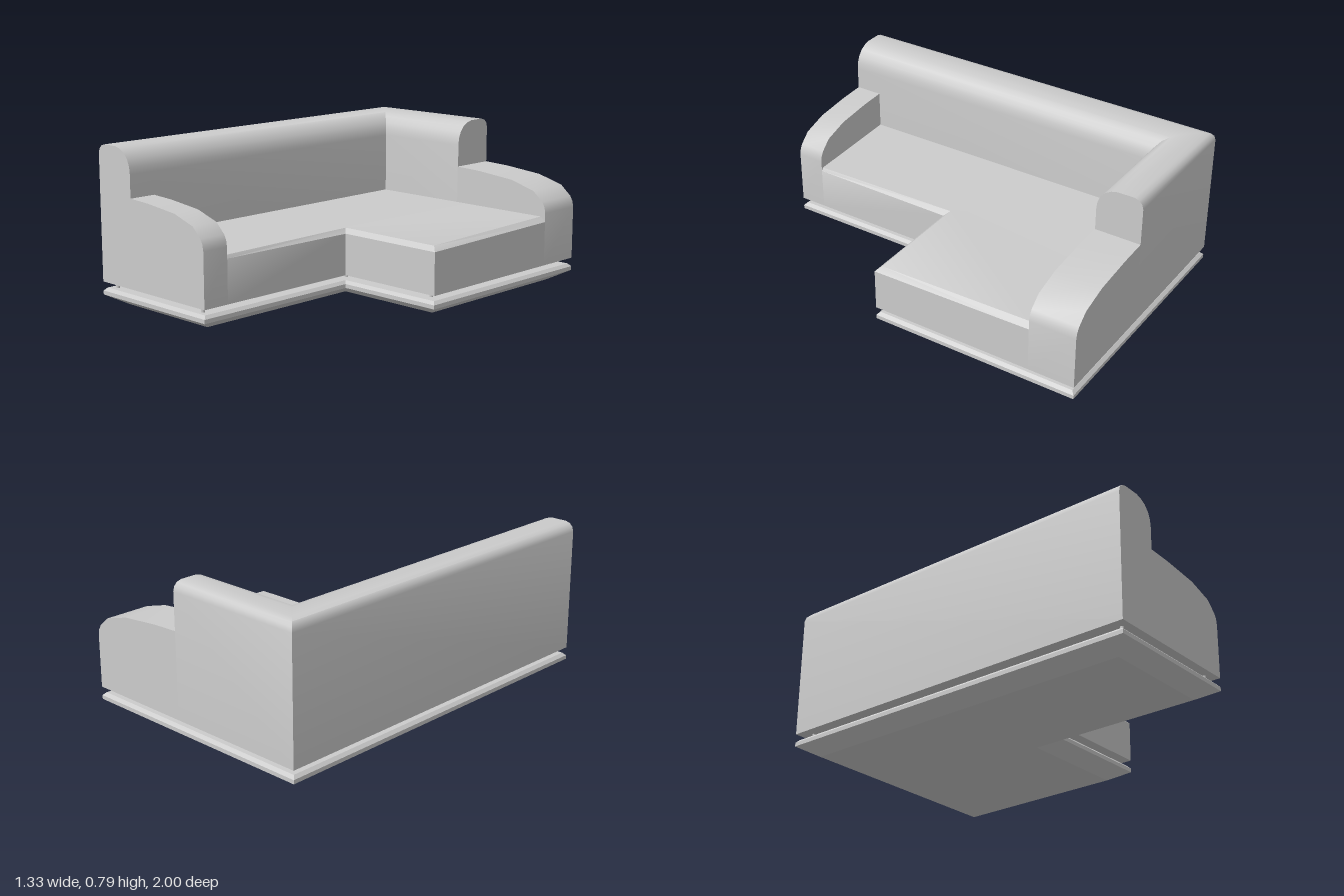
import * as THREE from 'three';
import { toCreasedNormals } from 'three/addons/utils/BufferGeometryUtils.js';

const material = new THREE.MeshStandardMaterial({ color: 0xcccccc });
const X = 0.667, Z = 1, INNER = 0.09; // footprint half sizes and the inner corner of the L
const BASE = 0.115, BACK_X = -0.43, BACK_Z = -0.76, ARM_Z = 0.86;

// Closed solid through matching rings of [x, y, z]; contour is the 2D outline used for the end caps.
function loft(name, rings, contour, crease = 0.7) {
  const n = contour.length;
  const pos = rings.flat(2);
  let faces = [];
  for (let r = 0; r < rings.length - 1; r++) {
    for (let i = 0; i < n; i++) {
      const j = (i + 1) % n, a = r * n, b = a + n;
      faces.push([a + i, a + j, b + j], [a + i, b + j, b + i]);
    }
  }
  // caps, wound to agree with the sides
  const pts = contour.map(([x, y]) => new THREE.Vector2(x, y));
  const last = (rings.length - 1) * n;
  const turn = Math.sign(THREE.ShapeUtils.area(pts));
  for (const [a, b, c] of THREE.ShapeUtils.triangulateShape(pts.slice(), [])) {
    const same = Math.sign(THREE.ShapeUtils.area([pts[a], pts[b], pts[c]])) === turn;
    const [p, q] = same ? [b, c] : [c, b];
    faces.push([a, q, p], [last + a, last + p, last + q]);
  }
  // turn the solid outward if its signed volume is negative
  const v = (i) => new THREE.Vector3().fromArray(pos, i * 3);
  const volume = faces.reduce((s, [a, b, c]) => s + v(a).dot(v(b).cross(v(c))), 0);
  if (volume < 0) faces = faces.map(([a, b, c]) => [a, c, b]);

  const geometry = new THREE.BufferGeometry();
  geometry.setAttribute('position', new THREE.Float32BufferAttribute(pos, 3));
  geometry.setIndex(faces.flat());
  const mesh = new THREE.Mesh(toCreasedNormals(geometry, crease), material);
  mesh.name = name;
  return mesh;
}

// L-shaped outline inset by s
const outline = (s) => [
  [-X + s, Z - s], [INNER - s, Z - s], [INNER - s, INNER - s],
  [X - s, INNER - s], [X - s, -Z + s], [-X + s, -Z + s],
];

function plinth() {
  const levels = [[0.09, 0], [0, 0.05], [0, 0.07], [0.015, 0.085]];
  const rings = levels.map(([s, y]) => outline(s).map(([x, z]) => [x, y, z]));
  return loft('plinth', rings, outline(0), 0.3);
}

// Rounded back profile swept along the left side and mitred round to the rear
function backrest() {
  const d = BACK_X + X;
  const profile = [
    [0, BASE], [0, 0.745], [0.006, 0.768], [0.022, 0.785], [0.047, 0.793],
    [0.132, 0.793], [0.165, 0.785], [0.195, 0.768], [0.22, 0.738], [0.233, 0.705],
    [d, 0.67], [d, BASE],
  ];
  return loft('backrest', [
    profile.map(([o, y]) => [-X + o, y, Z]),
    profile.map(([o, y]) => [-X + o, y, -Z + o]),
    profile.map(([o, y]) => [INNER, y, -Z + o]),
  ], profile);
}

// Arm with a top that curves down towards its outer end
function arm(name, x0, x1, z0, z1) {
  const curve = [[0, 0.556], [0.25, 0.55], [0.62, 0.53], [0.865, 0.49], [0.965, 0.44], [0.99, 0.415], [1, 0.385]];
  const profile = [[0, BASE], ...curve, [1, BASE]].map(([t, y]) => [x0 + t * (x1 - x0), y]);
  return loft(name, [z0, z1].map((z) => profile.map(([x, y]) => [x, y, z])), profile);
}

// Seat rising gently to the back, mitred at the corner, bevelled on the open edges.
// Section order: bottom front, front edge, bevel top, back top, back bottom
function seat() {
  const front = [[INNER, BASE], [INNER, 0.33], [0.08, 0.346], [BACK_X, 0.365], [BACK_X, BASE]];
  const depth = [[INNER, BASE], [INNER, 0.325], [0.065, 0.348], [BACK_Z, 0.365], [BACK_Z, BASE]];
  const end = [[INNER, BASE], [INNER, 0.325], [INNER, 0.325], [BACK_Z, 0.34], [BACK_Z, BASE]];
  const corner = depth.map(([o, y], i) => [i < 3 ? o : BACK_X, y, o]);
  return loft('seat', [
    front.map(([x, y]) => [x, y, ARM_Z]),
    corner,
    depth.map(([z, y]) => [0.64, y, z]),
    end.map(([z, y]) => [X, y, z]),
  ], front);
}

// Short pins between plinth and body
function legs() {
  const group = new THREE.Group();
  group.name = 'legs';
  const geometry = new THREE.CylinderGeometry(0.009, 0.009, 0.04, 12);
  const spots = [[-0.61, 0.955], [0.025, 0.955], [0.025, 0.02], [0.587, 0.02], [0.587, -0.93], [-0.61, -0.93]];
  for (const [x, z] of spots) {
    const leg = new THREE.Mesh(geometry, material);
    leg.name = 'leg';
    leg.position.set(x, 0.1, z);
    group.add(leg);
  }
  return group;
}

export function createModel() {
  const sofa = new THREE.Group();
  sofa.name = 'cornerSofa';
  sofa.add(
    plinth(),
    legs(),
    seat(),
    backrest(),
    arm('frontArm', BACK_X, INNER, ARM_Z, Z),
    arm('rearArm', INNER, X, -Z, BACK_Z),
  );
  return sofa;
}
